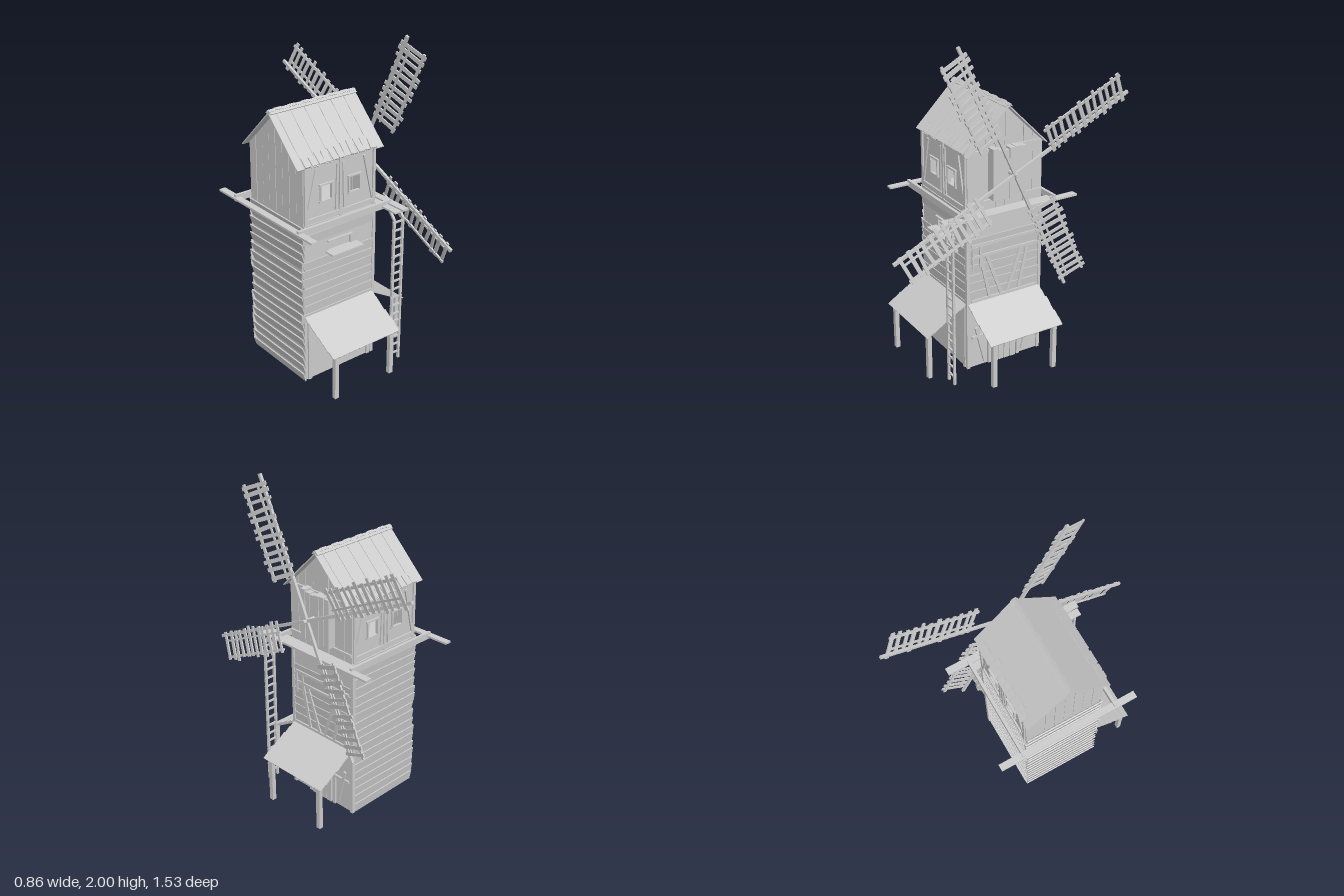
import * as THREE from 'three';

const mat = new THREE.MeshStandardMaterial({ color: 0xcccccc, flatShading: true, side: THREE.DoubleSide });
const V = (x, y, z) => new THREE.Vector3(x, y, z);
let seed = 7;
const rnd = (a = 0, b = 1) => {
  seed = (seed * 16807) % 2147483647;
  return a + (b - a) * seed / 2147483647;
};

function add(parent, name, geo) {
  const m = new THREE.Mesh(geo, mat);
  m.name = name;
  parent.add(m);
  return m;
}
function group(parent, name) {
  const g = new THREE.Group();
  g.name = name;
  parent.add(g);
  return g;
}
// Box given by its lower and upper corners
function box(parent, name, x0, x1, y0, y1, z0, z1) {
  const m = add(parent, name, new THREE.BoxGeometry(x1 - x0, y1 - y0, z1 - z0));
  m.position.set((x0 + x1) / 2, (y0 + y1) / 2, (z0 + z1) / 2);
  return m;
}
// Plank running from a to b; its flat face looks along normal
function plank(parent, name, a, b, width, thick, normal) {
  const d = b.clone().sub(a), len = d.length();
  const x = d.normalize();
  const y = normal.clone().cross(x).normalize();
  const z = x.clone().cross(y);
  const m = add(parent, name, new THREE.BoxGeometry(len, width, thick));
  m.quaternion.setFromRotationMatrix(new THREE.Matrix4().makeBasis(x, y, z));
  m.position.copy(a).add(b).multiplyScalar(0.5);
  return m;
}
// Flat panel from 2D points with rectangular holes [x0, x1, y0, y1]
function panel(parent, name, pts, holes, depth) {
  const s = new THREE.Shape(pts.map(p => new THREE.Vector2(...p)));
  for (const [a, b, c, d] of holes) {
    s.holes.push(new THREE.Path([[a, c], [a, d], [b, d], [b, c]].map(p => new THREE.Vector2(...p))));
  }
  return add(parent, name, new THREE.ExtrudeGeometry(s, { depth, bevelEnabled: false }));
}

const X0 = -0.33, X1 = 0.17, Z = 0.245, CX = -0.08;
const rect = (a, b, c, d) => [[a, c], [b, c], [b, d], [a, d]];

function buildTower(root) {
  const g = group(root, 'tower');
  // Hollow shell, open below
  panel(g, 'frontWall', rect(X0, X1, 0.01, 1.01), [[-0.16, 0, 0.81, 0.87]], 0.012).position.z = Z - 0.012;
  box(g, 'windowBack', -0.18, 0.02, 0.79, 0.89, Z - 0.04, Z - 0.03);
  box(g, 'backWall', X0, X1, 0.01, 1.01, -Z, -Z + 0.012);
  box(g, 'leftWall', X1 - 0.012, X1, 0.01, 1.01, -Z, Z);
  box(g, 'rightWall', X0, X0 + 0.012, 0.01, 1.01, -Z, Z);

  // Overlapping weatherboards with uneven ends
  const n = 18, h = 1 / n;
  for (let i = 0; i < n; i++) {
    const y = 0.01 + (i + 0.5) * h, j = () => rnd(-0.006, 0.006);
    plank(g, 'backBoard', V(X0 - rnd(0, 0.025), y + j(), -Z - 0.005), V(X1 + rnd(0, 0.012), y + j(), -Z - 0.005),
      h * 1.1, 0.006, V(0, -0.14, -1));
    plank(g, 'rightBoard', V(X0 - 0.01, y + j(), -Z - rnd(0, 0.01)), V(X0 - 0.01, y + j(), Z + rnd(0, 0.01)),
      h * 1.1, 0.007, V(-1, -0.32, 0));
    if (y > 0.4 && !(y > 0.78 && y < 0.9)) {
      plank(g, 'frontBoard', V(X0 - rnd(0, 0.03), y + j(), Z + 0.003), V(X1 + rnd(-0.015, 0.005), y + j(), Z + 0.003),
        h * 1.02, 0.005, V(0, -0.1, 1));
    }
    if (y > 0.4 && y < 0.82) {
      plank(g, 'leftBoard', V(X1 + 0.002, y + j(), -Z), V(X1 + 0.002, y + j(), Z), h * 1.02, 0.005, V(1, -0.1, 0));
    }
  }
  // Front window shelf and lintel
  box(g, 'windowShelf', -0.18, 0.045, 0.803, 0.811, Z, 0.31);
  box(g, 'windowLintel', -0.17, 0.01, 0.868, 0.878, Z, Z + 0.014);
  // Corner posts and framing of the left wall
  const f = X1 + 0.006, side = V(1, 0, 0);
  for (const s of [-1, 1]) {
    box(g, 'cornerPost', X1 - 0.01, X1 + 0.01, 0.01, 1.01, s * Z - 0.012, s * Z + 0.008);
    plank(g, 'upperBrace', V(f, 0.46, s * 0.02), V(f, 0.73, s * 0.12), 0.02, 0.012, side);
    plank(g, 'upperBrace', V(f, 0.46, s * 0.1), V(f, 0.73, s * 0.16), 0.02, 0.012, side);
    plank(g, 'lowerBrace', V(f, 0.03, s * 0.13), V(f, 0.27, s * 0.19), 0.018, 0.012, side);
    plank(g, 'lowerPost', V(f, 0.01, s * 0.1), V(f, 0.4, s * 0.1), 0.02, 0.012, side);
  }
  for (const y of [0.21, 0.45, 0.73, 0.8]) plank(g, 'rail', V(f, y, -0.22), V(f, y, 0.22), 0.016, 0.012, side);
  for (const z of [0.16, 0.21]) plank(g, 'hatchFrame', V(f, 0.66, z), V(f, 0.8, z), 0.012, 0.014, side);
  for (let i = 0; i < 4; i++) {
    plank(g, 'doorPlank', V(f, 0.01, -0.06 + i * 0.04), V(f, 0.2, -0.06 + i * 0.04), 0.036, rnd(0.012, 0.02), side);
  }
  // Corner and door framing of the front wall
  for (const x of [X0 + 0.03, X1 - 0.03]) box(g, 'frontPost', x - 0.012, x + 0.012, 0.01, 0.43, Z, Z + 0.01);
}

// Lean-to running along x with its wall edge at z = 0
function awning(root, name, width) {
  const g = group(root, name), rows = 6;
  const top = V(0, 0.435, 0), low = V(0, 0.285, 0.26), n = V(0, 0.26, 0.15);
  plank(g, 'awningSheet', top, low, width, 0.005, n);
  for (let i = 0; i < rows; i++) {
    const p = top.clone().lerp(low, (i + 0.5) / rows);
    plank(g, 'awningBoard', p.clone().add(V(-width / 2 - rnd(0, 0.006), 0.004, 0)), p.clone().add(V(width / 2 + rnd(0, 0.006), 0.004, 0)),
      0.052, 0.005, V(0, 0.26, 0.19));
  }
  for (const s of [-1, 1]) {
    box(g, 'awningPost', s * 0.205 - 0.014, s * 0.205 + 0.014, 0, 0.3, 0.218, 0.244);
    plank(g, 'awningRafter', V(s * 0.205, 0.42, 0), V(s * 0.205, 0.282, 0.24), 0.016, 0.012, n);
  }
  return g;
}

function buildDeck(root) {
  const g = group(root, 'deck');
  for (const s of [-1, 1]) {
    box(g, 'deckBeam', -0.415, 0.245, 0.99, 1.03, s * 0.3 - 0.009, s * 0.3 + 0.009);
  }
  const up = V(0, 1, 0);
  plank(g, 'deckPlank', V(-0.405, 1.01, -0.45), V(-0.405, 1.01, 0.435), 0.042, 0.012, up);
  plank(g, 'deckPlank', V(0.248, 1.01, -0.44), V(0.248, 1.01, 0.43), 0.045, 0.012, up);
  plank(g, 'deckPlank', V(0.2, 1.004, -0.3), V(0.2, 1.004, 0.42), 0.045, 0.01, up);
  box(g, 'hutFloor', X0, X1, 1.0, 1.015, -Z, Z);
}

function buildHut(root) {
  const g = group(root, 'hut');
  const roofY = z => 1.6 - 0.98 * Math.abs(z);
  const windows = [[-0.22, -0.14, 1.13, 1.23], [-0.02, 0.06, 1.13, 1.23]];
  for (const s of [-1, 1]) {
    const zc = s * (Z + 0.004), n = V(0, 0, s);
    panel(g, 'sideWall', rect(X0, X1, 1.01, 1.36), windows, 0.012).position.z = s * (Z - 0.006) - 0.006;
    for (const x of [X0 + 0.008, CX, X1 - 0.008]) plank(g, 'wallPost', V(x, 1.01, zc), V(x, 1.36, zc), 0.018, 0.012, n);
    for (const e of [-1, 1]) {
      plank(g, 'wallBrace', V(CX + e * 0.235, 1.05, zc), V(CX + e * 0.17, 1.33, zc), 0.016, 0.01, n);
      plank(g, 'wallBrace', V(CX + e * 0.03, 1.05, zc), V(CX + e * 0.02, 1.33, zc), 0.014, 0.01, n);
    }
    plank(g, 'sillBeam', V(X0, 1.035, zc), V(X1, 1.035, zc), 0.025, 0.012, n);
    for (const [a, b, c, d] of windows) {
      for (const y of [c, d]) plank(g, 'windowFrame', V(a - 0.01, y, zc), V(b + 0.01, y, zc), 0.01, 0.016, n);
      for (const x of [a, b]) plank(g, 'windowFrame', V(x, c, zc), V(x, d, zc), 0.01, 0.016, n);
    }
  }
  // Gables of upright planks cut to the roof slope
  for (const x of [X0, X1]) {
    for (let i = 0; i < 8; i++) {
      const a = -Z + i * Z / 4, b = a + Z / 4 - 0.002, t = rnd(0.01, 0.018);
      const p = panel(g, 'gablePlank', [[a, 1.01], [b, 1.01], [b, roofY(b)], [a, roofY(a)]], [], t);
      p.rotation.y = -Math.PI / 2;
      p.position.x = x + t / 2;
    }
  }
  // Boarded bay behind the sails
  for (let i = 0; i < 6; i++) {
    const z = -0.11 + i * 0.0367;
    box(g, 'bayPlank', X1, 0.225 + rnd(0, 0.008), 1.07 + rnd(0, 0.01), 1.36 + rnd(0, 0.025), z, z + 0.035);
  }
  for (const y of [1.06, 1.36]) plank(g, 'gableRail', V(X1 + 0.012, y, -Z), V(X1 + 0.012, y, Z), 0.018, 0.012, V(1, 0, 0));

  // Roof boards, crossing a little at the ridge
  const roof = group(g, 'roof'), count = 13, w = 0.6 / count;
  for (const s of [-1, 1]) {
    const n = V(0, 1, s * 0.98);
    for (let i = 0; i < count; i++) {
      const x = -0.38 + (i + 0.5) * w, lift = (i % 2) * 0.004, e = rnd(0, 0.008);
      plank(roof, 'roofBoard', V(x, 1.62 + lift, -s * 0.012), V(x, 1.348 + lift + e, s * (0.262 - e)), w * 1.03, 0.007, n);
      if (i > 0 && i < count - 1) {
        const q = rnd(0.2, 0.225);
        plank(roof, 'eaveTile', V(x, 1.617 - 0.98 * q, s * q), V(x + rnd(-0.008, 0.008), 1.362, s * 0.262), w * 0.85, 0.007, n);
      }
    }
    plank(roof, 'ridgeBoard', V(-0.38, 1.614, s * 0.01), V(0.22, 1.614, s * 0.01), 0.03, 0.007, n);
  }
}

function buildSails(root) {
  const g = group(root, 'sails');
  g.position.set(0.285, 1.23, 0);
  const shaft = add(g, 'windShaft', new THREE.CylinderGeometry(0.012, 0.012, 0.16, 8));
  shaft.rotation.z = Math.PI / 2;
  shaft.position.x = -0.05;
  const side = V(1, 0, 0), face = V(1, 0, -0.2);
  for (let k = 0; k < 4; k++) {
    const sail = group(g, 'sail');
    sail.rotation.x = 0.436 + k * Math.PI / 2;
    plank(sail, 'spar', V(0, 0, 0), V(0, 0.842, 0), 0.018, 0.016, side);
    plank(sail, 'outerRail', V(0.024, 0.25, 0.135), V(0.024, 0.815, 0.135), 0.016, 0.01, face);
    plank(sail, 'innerRail', V(0.012, 0.25, 0.035), V(0.012, 0.8, 0.035), 0.012, 0.008, face);
    for (let i = 0; i < 12; i++) {
      const u = 0.27 + i * 0.0475;
      const a = rnd(-0.035, -0.015), b = rnd(0.145, 0.17);
      plank(sail, 'slat', V(0.006 + a * 0.15, u + rnd(-0.008, 0.008), a), V(0.008 + b * 0.15, u + rnd(-0.008, 0.008), b),
        rnd(0.018, 0.026), 0.008, face);
    }
  }
}

function buildLadder(root) {
  const g = group(root, 'ladder');
  for (const x of [0.2, 0.265]) {
    box(g, 'ladderRail', x - 0.007, x + 0.007, 0, 0.95, 0.383, 0.397);
    plank(g, 'ladderTop', V(x, 0.945, 0.39), V(x - 0.015, 1.01, 0.36), 0.014, 0.014, V(0, 0, 1));
  }
  for (let i = 0; i < 17; i++) {
    const y = 0.05 + i * 0.055;
    plank(g, 'rung', V(0.19, y + rnd(-0.004, 0.004), 0.39), V(0.275, y + rnd(-0.004, 0.004), 0.39), 0.01, 0.01, V(0, 0, 1));
  }
}

export function createModel() {
  const root = new THREE.Group();
  root.name = 'windmill';
  buildTower(root);
  awning(root, 'frontAwning', 0.49).position.set(-0.085, 0, Z);
  const sideAwning = awning(root, 'leftAwning', 0.49);
  sideAwning.rotation.y = Math.PI / 2;
  sideAwning.position.set(X1, 0, 0);
  buildDeck(root);
  buildHut(root);
  buildSails(root);
  buildLadder(root);
  return root;
}
